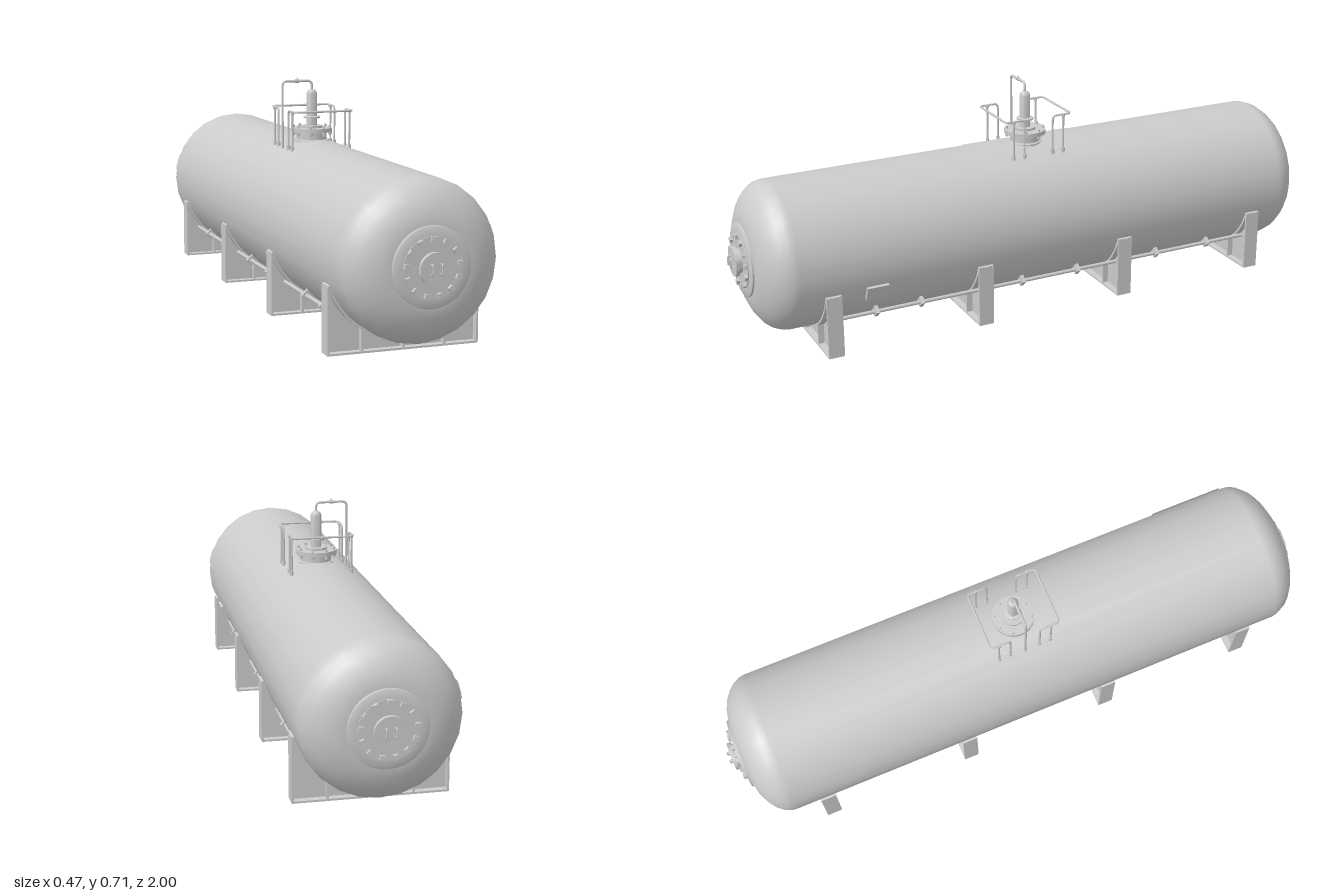
import * as THREE from 'three';
import { toCreasedNormals } from 'three/addons/utils/BufferGeometryUtils.js';

const grey = new THREE.MeshStandardMaterial({ color: 0xcccccc, side: THREE.DoubleSide });
const CY = 0.273, R = 0.235; // tank axis height and radius
const V = (x, y, z) => new THREE.Vector3(x, y, z);

function add(parent, name, geometry, x = 0, y = 0, z = 0) {
  const mesh = new THREE.Mesh(geometry, grey);
  mesh.name = name;
  mesh.position.set(x, y, z);
  parent.add(mesh);
  return mesh;
}
function group(parent, name) {
  const g = new THREE.Group();
  g.name = name;
  parent.add(g);
  return g;
}
const box = (w, h, d) => new THREE.BoxGeometry(w, h, d);
const rod = (r, h, n = 12) => new THREE.CylinderGeometry(r, r, h, n);
const lathe = (pts, n = 24) => new THREE.LatheGeometry(pts.map(p => new THREE.Vector2(...p)), n);
const turned = (pts, n) => toCreasedNormals(lathe(pts, n), 0.6);

// Pipe through corner points with rounded bends
function pipe(points, radius, bend = 0.015) {
  const path = new THREE.CurvePath();
  let from = points[0];
  for (let i = 1; i < points.length - 1; i++) {
    const p = points[i];
    const a = p.clone().add(points[i - 1].clone().sub(p).setLength(bend));
    const b = p.clone().add(points[i + 1].clone().sub(p).setLength(bend));
    path.add(new THREE.LineCurve3(from, a));
    path.add(new THREE.QuadraticBezierCurve3(a, p, b));
    from = b;
  }
  path.add(new THREE.LineCurve3(from, points[points.length - 1]));
  return new THREE.TubeGeometry(path, 64, radius, 8);
}

// Curved sheet lying on the tank; angle is measured from the bottom towards +x
function sheet(parent, name, angle, span, length, z, r = 0.2375) {
  const geo = new THREE.CylinderGeometry(r, r, length, 8, 1, true, angle - span / 2, span);
  return add(parent, name, geo.rotateX(Math.PI / 2), 0, CY, z);
}

function tank(parent) {
  const half = [[0.235, 0.86], [0.232, 0.875], [0.222, 0.895], [0.205, 0.915],
    [0.18, 0.933], [0.15, 0.947], [0.115, 0.955], [0, 0.958]];
  const profile = [...half.map(([r, z]) => [r, -z]).reverse(), [0.235, -0.85], [0.235, 0.85], ...half];
  add(parent, 'tankShell', lathe(profile).rotateX(Math.PI / 2), 0, CY, 0);
}

// Bolted manhole cover at one end, facing +z
function manhole(parent, name, back) {
  const g = group(parent, name);
  g.position.y = CY;
  if (back) g.rotation.y = Math.PI;
  const part = (n, pts) => add(g, n, turned(pts, 32).rotateX(Math.PI / 2));
  part('reinforcingRing', [[0.115, 0.945], [0.115, 0.96], [0.112, 0.962], [0.087, 0.963]]);
  part('coverPlate', [[0.087, 0.95], [0.087, 0.966], [0, 0.966]]);
  part('coverNeck', [[0.038, 0.96], [0.038, 0.976], [0.046, 0.976], [0.046, 0.988], [0, 0.988]]);
  for (let i = 0; i < 13; i++) {
    const a = Math.PI / 2 + i / 13 * Math.PI * 2;
    const nut = add(g, 'coverBolt', box(0.014, 0.014, 0.014), 0.079 * Math.cos(a), 0.079 * Math.sin(a), 0.968);
    nut.rotation.z = a;
  }
  for (const x of [-0.014, 0.014])
    add(g, 'coverHandle', pipe([V(x, -0.014, 0.985), V(x, -0.014, 0.9975), V(x, 0.014, 0.9975), V(x, 0.014, 0.985)], 0.0025, 0.005));
}

// Welded support: base, end plates, web, ribs and curved cradle
function saddle(parent, z) {
  const g = group(parent, 'saddle');
  g.position.z = z;
  const a = Math.asin((0.2 - CY) / 0.237);
  const web = new THREE.Shape();
  web.moveTo(-0.23, 0);
  web.lineTo(0.23, 0);
  web.lineTo(0.23, 0.197);
  web.absarc(0, CY, 0.237, a, -Math.PI - a, true);
  web.lineTo(-0.23, 0.197);
  add(g, 'web', new THREE.ExtrudeGeometry(web, { depth: 0.008, bevelEnabled: false, curveSegments: 24 }), 0, 0, -0.004);
  add(g, 'basePlate', box(0.46, 0.006, 0.05), 0, 0.003, 0);
  const cradle = new THREE.Shape();
  cradle.absarc(0, CY, 0.234, a, -Math.PI - a, true);
  cradle.absarc(0, CY, 0.241, -Math.PI - a, a, false);
  add(g, 'cradle', new THREE.ExtrudeGeometry(cradle, { depth: 0.05, bevelEnabled: false, curveSegments: 24 }), 0, 0, -0.025);
  for (const s of [-1, 1]) {
    add(g, 'endPlate', box(0.006, 0.197, 0.05), s * 0.227, 0.0985, 0);
    add(g, 'rib', box(0.006, 0.07, 0.046), s * 0.126, 0.038, 0);
  }
  add(g, 'centreRib', box(0.006, 0.034, 0.046), 0, 0.019, 0);
}

// Long pipe beside the tank with its brackets
function sidePipe(parent, s) {
  const g = group(parent, 'sidePipe');
  const x = s * 0.178, y = 0.1;
  add(g, 'pipeRun', rod(0.006, 1.5).rotateX(Math.PI / 2), x, y, 0);
  for (const z of [0.6, 0.45, 0.1, -0.1, -0.4, -0.6]) {
    const clamp = add(g, 'pipeBracket', box(0.036, 0.026, 0.012), x - s * 0.006, y + 0.004, z);
    clamp.rotation.z = s * -0.77;
  }
}

// Flanged valve tower on top
function valve(parent) {
  const g = group(parent, 'topValve');
  add(g, 'neck', turned([[0.056, 0.49], [0.056, 0.509], [0.049, 0.511], [0.049, 0.535]]));
  add(g, 'flange', turned([[0.049, 0.535], [0.067, 0.535], [0.067, 0.548], [0.035, 0.548], [0.035, 0.555], [0.015, 0.555]]));
  add(g, 'stem', turned([[0.017, 0.55], [0.017, 0.658], [0.015, 0.666], [0.009, 0.672], [0, 0.673]]));
  add(g, 'stemCollar', turned([[0.016, 0.578], [0.027, 0.579], [0.027, 0.584], [0.016, 0.586]]));
  for (let i = 0; i < 8; i++) {
    const a = (i + 0.5) / 8 * Math.PI * 2, x = 0.059 * Math.cos(a), z = 0.059 * Math.sin(a);
    add(g, 'flangeBolt', rod(0.004, 0.034, 6), x, 0.539, z);
    add(g, 'flangeNut', rod(0.0065, 0.01, 6), x, 0.531, z);
  }
  // Vent line arching over the stem
  add(g, 'ventPipe', pipe([V(-0.1, 0.475, 0), V(-0.1, 0.7, 0), V(0, 0.7, 0), V(0, 0.668, 0)], 0.004));
  add(g, 'ventFitting', rod(0.006, 0.014, 8).rotateZ(Math.PI / 2), -0.05, 0.7, 0);
  add(g, 'ventNipple', new THREE.CylinderGeometry(0.001, 0.004, 0.012, 8), -0.05, 0.706, 0);
}

// Guard rail on one side of the valve
function guardRail(parent, s) {
  const g = group(parent, 'guardRail');
  const e = 0.097, top = 0.61, foot = 0.48;
  add(g, 'topRail', pipe([V(-e, foot, s * 0.05), V(-e, top, s * 0.05), V(-e, top, s * 0.115),
    V(e, top, s * 0.115), V(e, top, s * 0.05), V(e, foot, s * 0.05)], 0.0035, 0.012));
  for (const x of [-e, e]) {
    add(g, 'railPost', rod(0.0035, top - foot, 8), x, (top + foot) / 2, s * 0.088);
    add(g, 'railCollar', rod(0.006, 0.01, 8), x, 0.606, s * 0.088);
    for (const z of [0.05, 0.088]) add(g, 'railFoot', rod(0.006, 0.016, 8), x, 0.49, s * z);
  }
}

export function createModel() {
  const model = new THREE.Group();
  model.name = 'storageTank';
  tank(model);
  manhole(model, 'frontManhole', false);
  manhole(model, 'backManhole', true);
  for (const z of [-0.75, -0.25, 0.25, 0.75]) saddle(model, z);
  for (const s of [-1, 1]) {
    sidePipe(model, s);
    guardRail(model, s);
    // Blank marking panels on the flanks
    sheet(model, 'longPanel', s * (Math.PI / 2 + 0.26), 0.24, 0.25, s * 0.735);
  }
  valve(model);
  sheet(model, 'topPad', Math.PI, 0.5, 0.38, 0.01);
  sheet(model, 'infoPanel', Math.PI / 2 - 0.38, 0.2, 0.07, -0.415);
  sheet(model, 'infoPanel', Math.PI / 2 - 0.38, 0.2, 0.07, -0.49);
  const plate = add(model, 'dataPlate', box(0.01, 0.05, 0.07), 0.22, 0.185, 0.61);
  plate.rotation.z = -0.38;
  return model;
}
